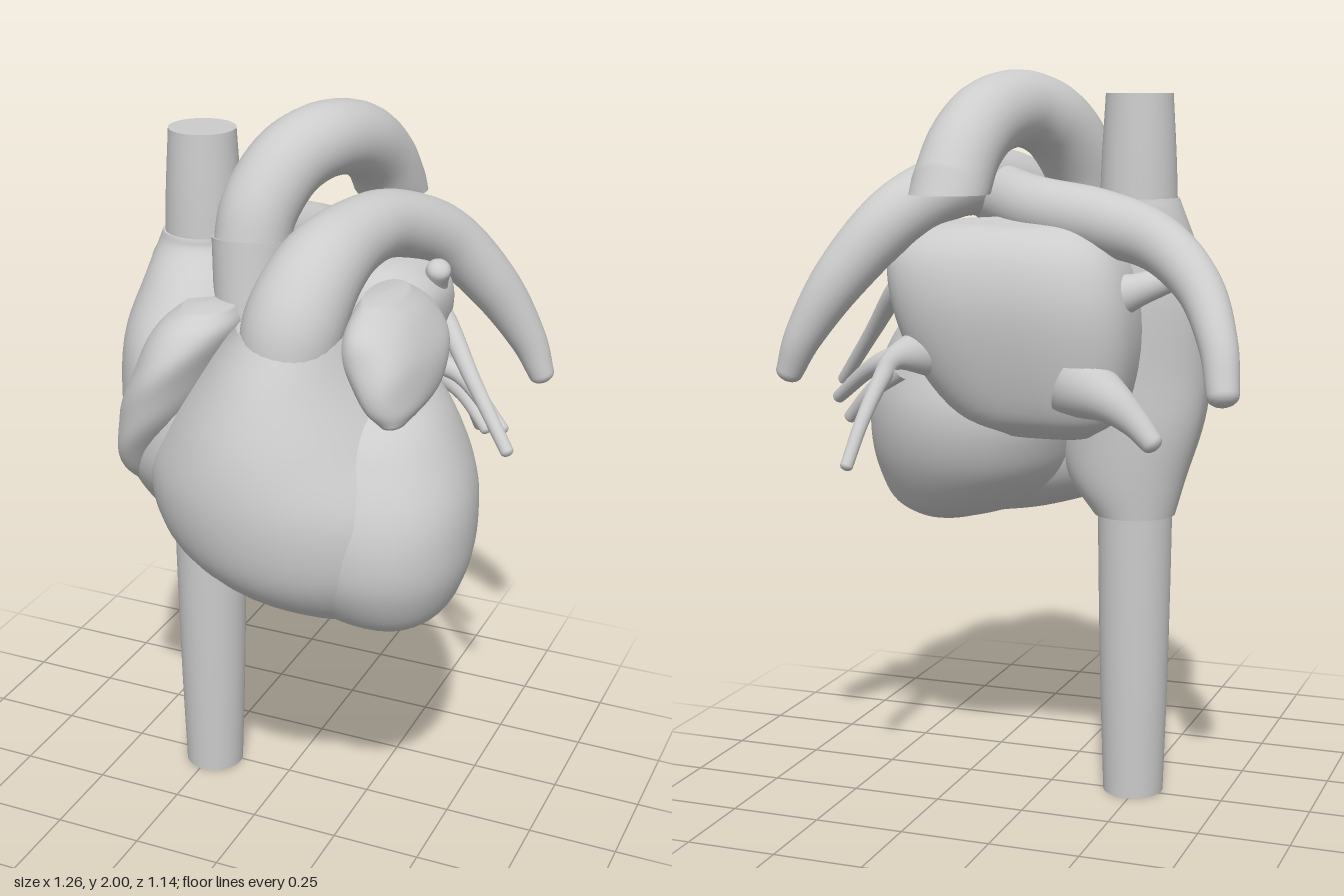
import * as THREE from 'three';

const V = (p) => new THREE.Vector3(...p);
const SIDES = 48;

// Skin a stack of equal loops; optional flat caps have their own vertices
function skin(rings, capStart, capEnd) {
  const n = rings[0].length, pos = [], idx = [];
  rings.forEach((r) => r.forEach((p) => pos.push(p.x, p.y, p.z)));
  for (let j = 0; j < rings.length - 1; j++) {
    for (let i = 0; i < n; i++) {
      const k = (i + 1) % n, a = j * n + i, b = j * n + k, c = a + n, d = b + n;
      idx.push(a, c, b, b, c, d);
    }
  }
  const cap = (ring, flip) => {
    const s = pos.length / 3;
    ring.forEach((p) => pos.push(p.x, p.y, p.z));
    for (let i = 1; i < n - 1; i++) idx.push(s, s + (flip ? i + 1 : i), s + (flip ? i : i + 1));
  };
  if (capStart) cap(rings[0], false);
  if (capEnd) cap(rings[rings.length - 1], true);
  const g = new THREE.BufferGeometry();
  g.setAttribute('position', new THREE.Float32BufferAttribute(pos, 3));
  g.setIndex(idx);
  g.computeVertexNormals();
  return g;
}

// Smooth body from horizontal sections [y, xMin, xMax, zMid, zFront, zBack]
function body(sections, { flat = false, square = 1, lump = 0, skew = 0 } = {}) {
  const curve = (o) => new THREE.CatmullRomCurve3(
    sections.map((s) => V(s.slice(o, o + 3))), false, 'catmullrom', 0.5);
  const A = curve(0), B = curve(3), steps = (sections.length - 1) * 6, rings = [];
  const bend = (v) => Math.sign(v) * Math.abs(v) ** square;
  for (let j = 0; j <= steps; j++) {
    const a = A.getPoint(j / steps), b = B.getPoint(j / steps), ring = [];
    for (let i = 0; i < SIDES; i++) {
      const t = (i / SIDES) * Math.PI * 2, c = bend(Math.cos(t)), s = bend(Math.sin(t));
      const w = 1 + lump * Math.sin(3 * t + a.x * 9) * Math.sin(a.x * 25 + t);
      const dz = s * w * (s > 0 ? b.y - b.x : b.x - b.z);
      ring.push(new THREE.Vector3(
        (a.y + a.z) / 2 + c * w * (a.z - a.y) / 2 + skew * dz, a.x, b.x + dz));
    }
    rings.push(ring);
  }
  // Dome ends close to a point; flat ends get a cap
  if (!flat) {
    for (const end of [0, rings.length - 1]) {
      const mid = rings[end].reduce((m, p) => m.add(p), new THREE.Vector3()).divideScalar(SIDES);
      mid.y += end ? 0.012 : -0.012;
      const tip = rings[end].map(() => mid.clone());
      if (end) rings.push(tip); else rings.unshift(tip);
    }
  }
  return skin(rings, flat, flat);
}

// Vessel along points [x, y, z, radius]; the far end is rounded, square or cut level
function vessel(points, end = 'round') {
  const path = new THREE.CatmullRomCurve3(points.map((p) => V(p.slice(0, 3))), false, 'catmullrom', 0.5);
  const size = new THREE.CatmullRomCurve3(points.map((p, i) => V([p[3], i, 0])), false, 'catmullrom', 0.5);
  const steps = (points.length - 1) * 8, rings = [], sides = 28;
  const last = V(points.at(-1).slice(0, 3)), r = points.at(-1)[3];
  const N = new THREE.Vector3(0.31, 0.2, 0.93), T = new THREE.Vector3(), B = new THREE.Vector3();
  const addRing = (c, radius) => {
    const ring = [];
    for (let i = 0; i < sides; i++) {
      const t = (i / sides) * Math.PI * 2;
      ring.push(c.clone().addScaledVector(N, radius * Math.cos(t)).addScaledVector(B, radius * Math.sin(t)));
    }
    rings.push(ring);
  };
  for (let j = 0; j <= steps; j++) {
    T.copy(path.getTangent(j / steps));
    if (end === 'level' && j === steps) T.set(0, -1, 0);
    N.addScaledVector(T, -N.dot(T)).normalize();
    B.crossVectors(N, T);
    addRing(path.getPoint(j / steps), size.getPoint(j / steps).x);
  }
  if (end === 'level') {
    rings.slice(steps / 2).forEach((ring) => ring.forEach((p) => { p.y = Math.max(p.y, last.y); }));
  } else if (end === 'round') {
    for (let k = 1; k <= 5; k++) {
      const a = (k / 5) * Math.PI / 2;
      addRing(last.clone().addScaledVector(T, r * 0.7 * Math.sin(a)), r * Math.cos(a));
    }
  }
  return skin(rings, true, end !== 'round');
}

export function createModel() {
  const group = new THREE.Group();
  const grey = new THREE.MeshStandardMaterial({ color: 0xcccccc });
  grey.name = 'plain grey';
  const add = (name, geometry) => {
    const m = new THREE.Mesh(geometry, grey);
    m.name = name;
    group.add(m);
  };

  // Ventricles
  add('leftVentricle', body([
    [0.722, 0.34, 0.43, 0.18, 0.25, 0.1], [0.75, 0.24, 0.49, 0.17, 0.34, -0.01],
    [0.8, 0.1, 0.545, 0.16, 0.415, -0.12], [0.9, -0.03, 0.585, 0.16, 0.475, -0.21],
    [1.0, -0.08, 0.595, 0.15, 0.49, -0.255], [1.1, -0.1, 0.585, 0.14, 0.475, -0.265],
    [1.2, -0.07, 0.545, 0.12, 0.43, -0.235], [1.3, 0.03, 0.48, 0.1, 0.355, -0.185],
    [1.38, 0.13, 0.38, 0.08, 0.22, -0.1], [1.41, 0.2, 0.3, 0.05, 0.1, 0]], { square: 0.95, skew: 0.17 }));
  add('rightVentricle', body([
    [0.745, 0.18, 0.37, 0.22, 0.3, 0.14], [0.78, 0.03, 0.44, 0.18, 0.39, 0.05],
    [0.85, -0.15, 0.5, 0.12, 0.49, -0.03], [0.95, -0.275, 0.55, 0.1, 0.55, -0.07],
    [1.1, -0.31, 0.54, 0.1, 0.57, -0.08], [1.25, -0.24, 0.44, 0.1, 0.545, -0.06],
    [1.4, -0.13, 0.34, 0.14, 0.48, 0], [1.52, -0.015, 0.26, 0.27, 0.405, 0.14]], { flat: true }));

  // Atria and their ear-like appendages
  add('rightAtrium', body([
    [0.8, -0.35, -0.125, 0.015, 0.125, -0.095], [0.9, -0.375, -0.05, 0.02, 0.22, -0.11],
    [1.05, -0.415, 0, 0.03, 0.35, -0.12], [1.2, -0.43, 0.05, 0.04, 0.38, -0.125],
    [1.4, -0.43, 0, 0.03, 0.34, -0.125], [1.55, -0.39, -0.08, 0.02, 0.22, -0.11],
    [1.63, -0.365, -0.13, 0.015, 0.14, -0.1], [1.665, -0.352, -0.138, 0.015, 0.125, -0.095]], { flat: true }));
  add('rightAppendage', body([
    [1.0, -0.34, -0.27, 0.18, 0.25, 0.1], [1.1, -0.375, -0.24, 0.2, 0.36, 0.1],
    [1.25, -0.36, -0.14, 0.22, 0.42, 0.1], [1.4, -0.3, -0.07, 0.22, 0.425, 0.1],
    [1.49, -0.25, -0.04, 0.22, 0.385, 0.1], [1.54, -0.19, -0.06, 0.22, 0.31, 0.15]], { lump: 0.025 }));
  add('leftAtrium', body([
    [1.04, -0.17, 0.06, -0.17, -0.07, -0.24], [1.1, -0.25, 0.2, -0.17, 0, -0.31],
    [1.25, -0.29, 0.32, -0.17, 0.05, -0.36], [1.4, -0.29, 0.375, -0.17, 0.05, -0.38],
    [1.52, -0.25, 0.38, -0.17, 0.05, -0.355], [1.59, -0.17, 0.3, -0.17, 0, -0.29],
    [1.61, -0.08, 0.2, -0.16, -0.1, -0.2]], { square: 0.7 }));
  add('leftAppendage', body([
    [1.31, 0.37, 0.44, 0.2, 0.32, 0.1], [1.36, 0.3, 0.465, 0.13, 0.34, -0.03],
    [1.45, 0.24, 0.46, 0.11, 0.335, -0.1], [1.53, 0.24, 0.41, 0.09, 0.3, -0.09],
    [1.585, 0.26, 0.35, 0.08, 0.19, -0.02]], { square: 0.85, lump: 0.03 }));

  // Great veins
  add('superiorVenaCava', vessel([
    [-0.243, 1.6, 0.015, 0.106], [-0.243, 1.77, 0.015, 0.1], [-0.243, 1.94, 0.015, 0.09]], 'square'));
  add('inferiorVenaCava', vessel([
    [-0.239, 0, 0.015, 0.084], [-0.239, 0.28, 0.015, 0.093], [-0.239, 0.56, 0.015, 0.099],
    [-0.239, 0.84, 0.015, 0.103]], 'square'));

  // Aorta
  add('aorticRoot', vessel([
    [-0.05, 1.4, 0.14, 0.09], [-0.06, 1.56, 0.115, 0.098], [-0.065, 1.685, 0.095, 0.105]], 'square'));
  add('aorticArch', vessel([
    [-0.065, 1.65, 0.105, 0.099], [-0.055, 1.76, 0.066, 0.103], [-0.015, 1.86, -0.02, 0.103],
    [0.04, 1.9, -0.13, 0.101], [0.08, 1.875, -0.27, 0.1], [0.1, 1.8, -0.385, 0.099],
    [0.11, 1.69, -0.465, 0.101]], 'level'));

  // Pulmonary arteries
  add('leftPulmonaryArtery', vessel([
    [0.125, 1.42, 0.31, 0.12], [0.135, 1.54, 0.275, 0.13], [0.16, 1.65, 0.17, 0.118],
    [0.195, 1.7, 0.02, 0.098], [0.24, 1.695, -0.14, 0.09], [0.33, 1.62, -0.3, 0.085],
    [0.445, 1.47, -0.39, 0.072], [0.535, 1.32, -0.43, 0.052], [0.582, 1.215, -0.435, 0.036]]));
  add('rightPulmonaryArtery', vessel([
    [0.17, 1.67, 0.02, 0.085], [0, 1.64, -0.13, 0.085], [-0.2, 1.61, -0.18, 0.085],
    [-0.36, 1.56, -0.2, 0.075], [-0.49, 1.46, -0.28, 0.062], [-0.565, 1.33, -0.37, 0.05],
    [-0.592, 1.21, -0.42, 0.042]]));

  // Pulmonary veins
  const veins = {
    leftUpperVeinStub: [[0.25, 1.4, -0.24, 0.09], [0.32, 1.46, -0.225, 0.05], [0.345, 1.53, -0.18, 0.036], [0.365, 1.58, -0.15, 0.033]],
    leftUpperVeinBranch: [[0.28, 1.45, -0.24, 0.05], [0.36, 1.42, -0.22, 0.032], [0.48, 1.29, -0.13, 0.022], [0.61, 1.14, -0.045, 0.018]],
    leftLowerVein: [[0.24, 1.27, -0.27, 0.08], [0.32, 1.25, -0.33, 0.035], [0.345, 1.2, -0.37, 0.024], [0.365, 1.1, -0.45, 0.019], [0.38, 0.99, -0.52, 0.017]],
    leftLowerVeinOuterBranch: [[0.3, 1.26, -0.31, 0.035], [0.4, 1.22, -0.3, 0.024], [0.54, 1.12, -0.225, 0.018]],
    leftLowerVeinInnerBranch: [[0.31, 1.22, -0.33, 0.03], [0.39, 1.16, -0.33, 0.022], [0.47, 1.08, -0.3, 0.018]],
    rightUpperVein: [[-0.18, 1.4, -0.2, 0.1], [-0.28, 1.43, -0.19, 0.05], [-0.36, 1.46, -0.15, 0.037], [-0.405, 1.48, -0.11, 0.033]],
    rightLowerVein: [[-0.16, 1.2, -0.26, 0.1], [-0.26, 1.16, -0.29, 0.06], [-0.33, 1.11, -0.3, 0.04], [-0.38, 1.06, -0.31, 0.03]],
  };
  for (const [name, points] of Object.entries(veins)) add(name, vessel(points));

  return group;
}
